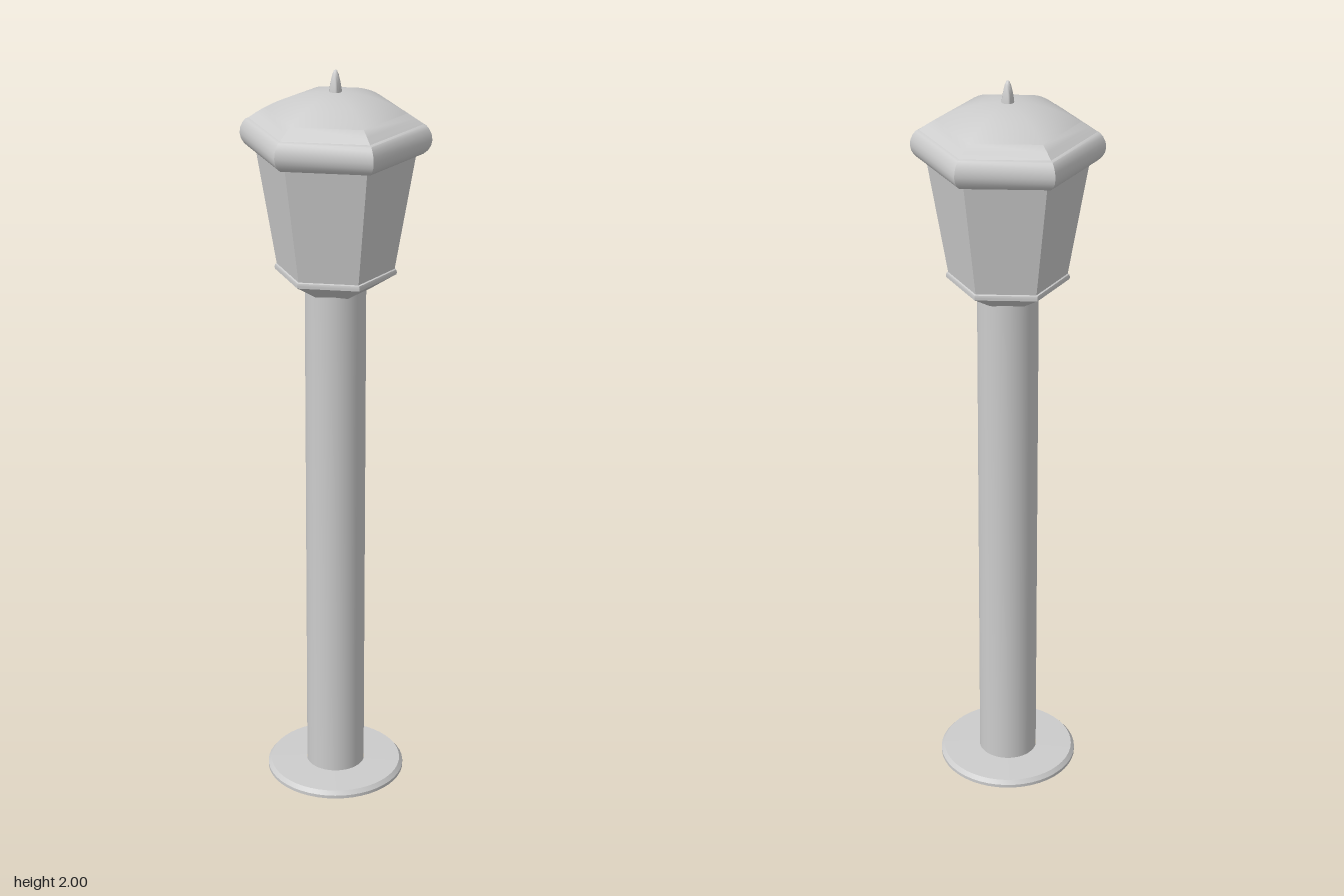
import * as THREE from 'three';
import { toCreasedNormals } from 'three/addons/utils/BufferGeometryUtils.js';

const metal = new THREE.MeshStandardMaterial({ color: 0xcccccc });
metal.name = 'light grey metal';

// Turned part from a bottom-to-top profile of [radius, y]; 6 sides put a corner on +z
function turned(name, profile, sides, crease = 0.6) {
  const points = profile.map(([r, y]) => new THREE.Vector2(r, y));
  const geometry = toCreasedNormals(new THREE.LatheGeometry(points, sides), crease);
  const mesh = new THREE.Mesh(geometry, metal);
  mesh.name = name;
  return mesh;
}

// Points along a circular cap of the given rim radius and rise
function capProfile(radius, y, rise, steps) {
  const R = (radius * radius + rise * rise) / (2 * rise);
  const sweep = Math.asin(radius / R);
  return Array.from({ length: steps + 1 }, (_, i) => {
    const a = sweep * (1 - i / steps);
    return [i === steps ? 0 : R * Math.sin(a), y + rise - R + R * Math.cos(a)];
  });
}

export function createModel() {
  const lamp = new THREE.Group();
  lamp.name = 'lampPost';

  // Round foot and pole
  lamp.add(turned('baseFlange', [[0, 0], [0.188, 0], [0.188, 0.009], [0.179, 0.02], [0.08, 0.022]], 48));
  lamp.add(turned('pole', [[0.079, 0.015], [0.079, 1.43]], 48));

  // Hexagonal lantern
  lamp.add(turned('lanternCollar', [
    [0, 1.425], [0.085, 1.425], [0.15, 1.466], [0.157, 1.47], [0.158, 1.476], [0.156, 1.483], [0.15, 1.486], [0, 1.486],
  ], 6));
  lamp.add(turned('lanternPanes', [[0.152, 1.484], [0.204, 1.795]], 6));

  // Rounded rim around the roof
  lamp.add(turned('roofRim', [
    [0, 1.79], [0.208, 1.79], [0.221, 1.793], [0.232, 1.802], [0.24, 1.815], [0.243, 1.829],
    [0.241, 1.844], [0.235, 1.857], [0.228, 1.866], [0.22, 1.869], [0, 1.869],
  ], 6));

  // Domed roof and finial
  lamp.add(turned('roofDome', capProfile(0.22, 1.869, 0.076, 10), 6));
  lamp.add(turned('finial', [
    [0.016, 1.935], [0.0155, 1.95], [0.0125, 1.968], [0.008, 1.988], [0.004, 1.998], [0, 2],
  ], 20, 1.0));
  return lamp;
}
